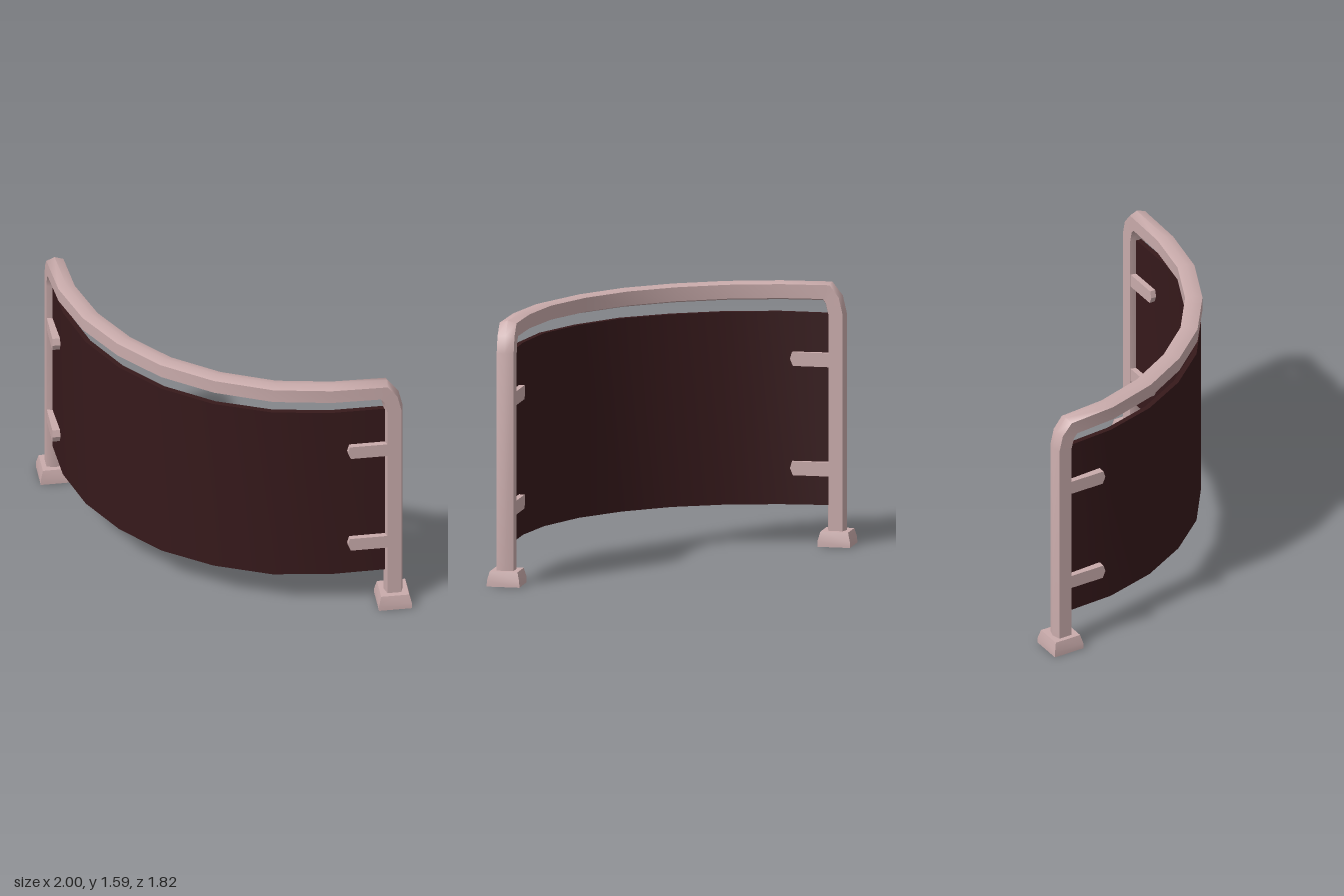
import * as THREE from 'three';
import { toCreasedNormals } from 'three/addons/utils/BufferGeometryUtils.js';

const frameMat = new THREE.MeshStandardMaterial({ color: 0xc9abab });
const baseMat = new THREE.MeshStandardMaterial({ color: 0xc9abab, side: THREE.DoubleSide });
const panelMat = new THREE.MeshStandardMaterial({ color: 0x36191b });

// Plan of the curve as [x, z], from the back post to the front post
const arc = [[-0.905, -0.75], [-0.88, -0.47], [-0.785, -0.155], [-0.625, 0.135], [-0.41, 0.39],
  [-0.13, 0.595], [0.195, 0.74], [0.53, 0.8], [0.84, 0.807]];
const posts = [{ x: -0.905, z: -0.81, turn: -Math.PI / 2 }, { x: 0.9, z: 0.807, turn: Math.PI }];

// Mitred sweep of a [side, normal] profile; the side axis always stays level
function sweep(path, profile) {
  const last = path.length - 1, m = profile.length, pos = [], idx = [];
  const dirs = path.slice(1).map((p, i) => p.clone().sub(path[i]).normalize());
  const tangents = path.map((_, i) =>
    dirs[Math.max(i - 1, 0)].clone().add(dirs[Math.min(i, last - 1)]).normalize());
  const level = (i) => new THREE.Vector3(tangents[i].z, 0, -tangents[i].x);
  path.forEach((p, i) => {
    let side = level(i);
    if (side.length() < 0.01) side = level(i === 0 ? 1 : last - 1);
    side.normalize();
    const mitre = 1 / tangents[i].dot(dirs[Math.min(i, last - 1)]);
    const normal = tangents[i].clone().cross(side).normalize().multiplyScalar(mitre);
    for (const [s, n] of profile) {
      const v = p.clone().addScaledVector(side, s).addScaledVector(normal, n);
      pos.push(v.x, v.y, v.z);
    }
  });
  for (let i = 0; i < last; i++) {
    for (let j = 0; j < m; j++) {
      const a = i * m + j, b = i * m + (j + 1) % m;
      idx.push(a, b, b + m, a, b + m, a + m);
    }
  }
  for (let k = 1; k < m - 1; k++) idx.push(0, k + 1, k, last * m, last * m + k, last * m + k + 1);
  const geo = new THREE.BufferGeometry();
  geo.setAttribute('position', new THREE.Float32BufferAttribute(pos, 3));
  geo.setIndex(idx);
  return toCreasedNormals(geo, 0.9);
}

function addMesh(parent, name, geo, mat) {
  const mesh = new THREE.Mesh(geo, mat);
  mesh.name = name;
  parent.add(mesh);
  return mesh;
}

export function createModel() {
  const model = new THREE.Group();
  model.name = 'curvedBarrier';
  const V = (x, y, z) => new THREE.Vector3(x, y, z);

  // One continuous tube: back post, curved top rail, front post
  const railPath = [
    V(-0.905, 0.003, -0.81), V(-0.905, 1.4, -0.81), V(-0.905, 1.485, -0.79),
    ...arc.map(([x, z]) => V(x, 1.535, z)),
    V(0.88, 1.485, 0.807), V(0.9, 1.4, 0.807), V(0.9, 0.003, 0.807),
  ];
  const tube = [[0, -0.057], [0.052, -0.042], [0.052, 0.042], [0, 0.057], [-0.052, 0.042], [-0.052, -0.042]];
  addMesh(model, 'postsAndRail', sweep(railPath, tube), frameMat);

  // Thin panel following the rail, bowed slightly outward in the middle
  const panelPath = arc.map(([x, z], i) => {
    const bow = 0.03 * Math.sin(Math.PI * i / (arc.length - 1)) * Math.SQRT1_2;
    return V(x - bow, 0.82, z + bow);
  });
  panelPath.unshift(V(-0.905, 0.82, -0.8));
  panelPath.push(V(0.89, 0.82, 0.807));
  const slab = [[-0.016, -0.58], [0.016, -0.58], [0.016, 0.58], [-0.016, 0.58]];
  addMesh(model, 'panel', sweep(panelPath, slab), panelMat);

  // Bracket arm with a chamfered tip
  const arm = new THREE.Shape([[0, -0.042], [0.262, -0.042], [0.28, 0], [0.268, 0.042], [0, 0.042]]
    .map(([x, y]) => new THREE.Vector2(x, y)));
  const armGeo = new THREE.ExtrudeGeometry(arm, { depth: 0.1, bevelEnabled: false });
  armGeo.translate(0, 0, -0.05);

  // Square foot, open underneath, with sloping upper sides
  const rim = [[0, 0.09], [0.085, 0.09], [0.099, 0.035], [0.1, 0]]
    .map(([r, y]) => new THREE.Vector2(r * Math.SQRT2, y)).reverse();
  const footGeo = toCreasedNormals(new THREE.LatheGeometry(rim, 4).rotateY(Math.PI / 4), 0.5);

  for (const { x, z, turn } of posts) {
    addMesh(model, 'foot', footGeo, baseMat).position.set(Math.sign(x) * 0.9, 0, z);
    for (const y of [0.46, 1.122]) {
      const bracket = addMesh(model, 'bracket', armGeo, frameMat);
      bracket.position.set(x, y, z);
      bracket.rotation.y = turn;
    }
  }
  return model;
}
